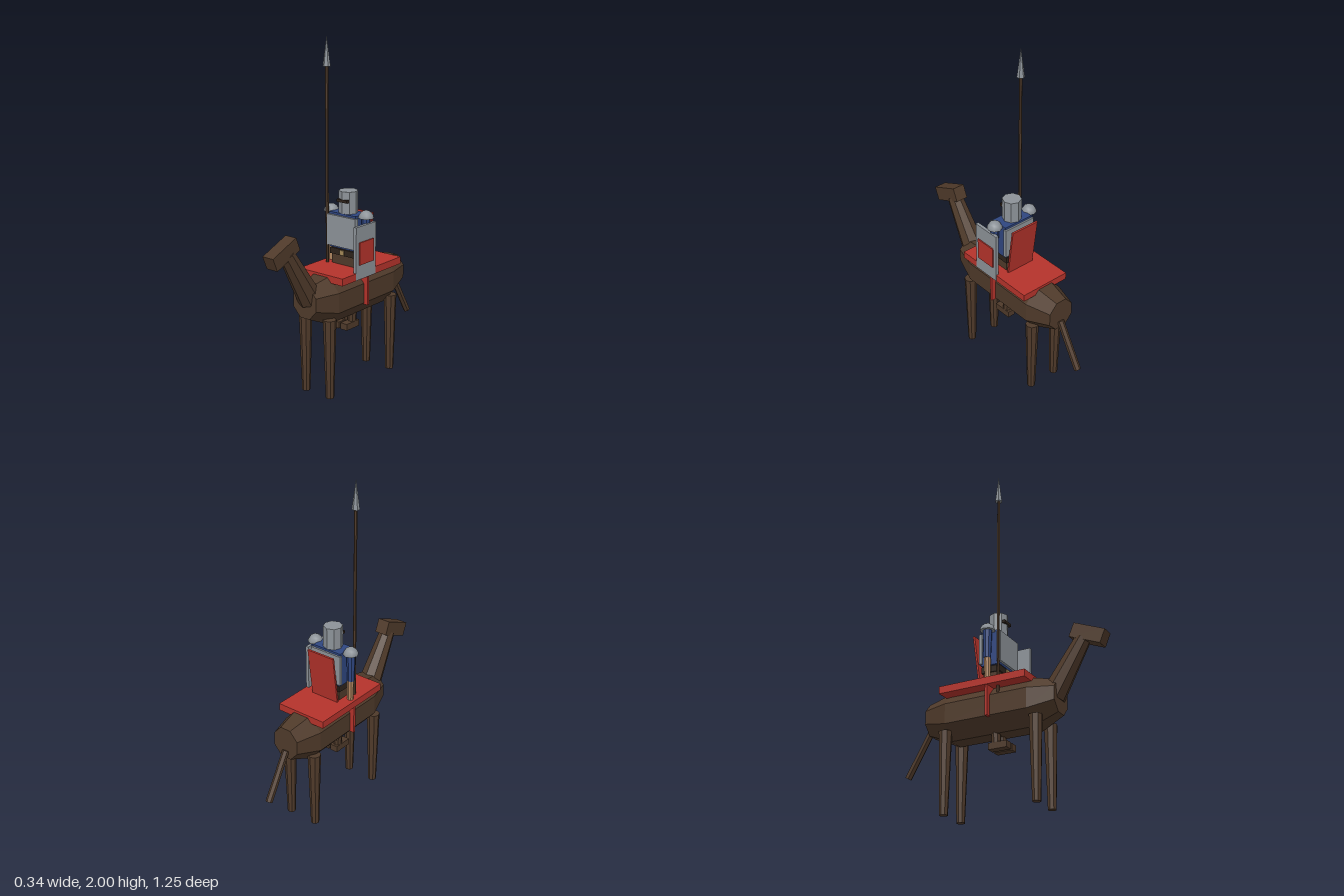
import * as THREE from 'three';

export function createModel() {
  const root = new THREE.Group();
  root.name = 'mountedKnight';

  const paint = (name, color, flat = true) => {
    const m = new THREE.MeshStandardMaterial({ color, flatShading: flat });
    m.name = name;
    return m;
  };
  const brown = paint('hideBrown', 0x4f3a2a);
  const red = paint('clothRed', 0xb5332b);
  const steel = paint('steel', 0x8c9298);
  const smoothSteel = paint('polishedSteel', 0x8c9298, false);
  const blue = paint('tunicBlue', 0x2f4680);
  const skin = paint('skin', 0xb08660);
  const dark = paint('darkLeather', 0x2e231b);
  const brass = paint('brass', 0xa68a58);

  const add = (name, geometry, material, x = 0, y = 0, z = 0, rx = 0) => {
    const mesh = new THREE.Mesh(geometry, material);
    mesh.name = name;
    mesh.position.set(x, y, z);
    mesh.rotation.x = rx;
    root.add(mesh);
    return mesh;
  };
  const box = (name, material, size, pos, rx = 0) =>
    add(name, new THREE.BoxGeometry(...size), material, ...pos, rx);

  // Tapered rod running between two points
  const limb = (name, material, from, to, rFrom, rTo, sides = 8) => {
    const a = new THREE.Vector3(...from), b = new THREE.Vector3(...to);
    const dir = b.clone().sub(a);
    const mesh = add(name, new THREE.CylinderGeometry(rTo, rFrom, dir.length(), sides), material);
    mesh.position.copy(a).add(b).multiplyScalar(0.5);
    mesh.quaternion.setFromUnitVectors(new THREE.Vector3(0, 1, 0), dir.normalize());
    return mesh;
  };

  // Horse barrel: eight-sided, narrowing and rising slightly at both ends
  const profile = [[0, -0.452], [0.66, -0.452], [1, -0.3], [1, 0.2], [0.66, 0.345], [0, 0.345]]
    .map(([r, l]) => new THREE.Vector2(r, l));
  const barrel = new THREE.LatheGeometry(profile, 8, Math.PI / 8);
  barrel.rotateX(Math.PI / 2).scale(0.135, 0.1515, 1);
  const p = barrel.attributes.position;
  for (let i = 0; i < p.count; i++) {
    const z = p.getZ(i);
    if (z < -0.4 || z > 0.3) p.setY(i, p.getY(i) + 0.017);
  }
  add('horseBody', barrel, brown, 0, 0.56, 0);

  // Neck, head and tail
  limb('horseNeck', brown, [0, 0.59, 0.3], [0, 0.89, 0.487], 0.07, 0.045);
  box('horseHead', brown, [0.076, 0.082, 0.195], [0, 0.902, 0.523], 0.4);
  limb('horseTail', brown, [0, 0.53, -0.452], [0, 0.268, -0.604], 0.02, 0.02, 6);

  // Horse legs
  for (const x of [-0.089, 0.089])
    for (const z of [0.238, -0.314])
      limb('horseLeg', brown, [x, 0, z], [x, 0.468, z], 0.024, 0.038);

  // Saddle cloth and the hanging band below it
  box('saddleCloth', red, [0.315, 0.042, 0.53], [0, 0.69, -0.055]);
  box('girthBand', red, [0.302, 0.18, 0.015], [0, 0.585, -0.027]);

  // Rider: hips, belt, tunic and plates
  box('riderHips', brown, [0.165, 0.14, 0.095], [0, 0.75, -0.035]);
  box('belt', dark, [0.18, 0.036, 0.112], [0, 0.785, -0.035]);
  box('beltBuckle', brass, [0.028, 0.028, 0.008], [0, 0.785, 0.025]);
  box('tunic', blue, [0.19, 0.205, 0.11], [0, 0.91, -0.035]);
  box('breastplate', steel, [0.205, 0.18, 0.025], [0, 0.91, 0.022]);
  box('backplate', steel, [0.205, 0.18, 0.02], [0, 0.91, -0.091]);

  // Paired limbs and shoulder guards
  const dome = new THREE.SphereGeometry(0.044, 8, 4, 0, Math.PI * 2, 0, Math.PI / 2);
  const domeBase = new THREE.CircleGeometry(0.044, 8).rotateX(Math.PI / 2);
  for (const s of [-1, 1]) {
    limb('riderLeg', brown, [s * 0.03, 0.37, -0.03], [s * 0.04, 0.7, -0.03], 0.025, 0.038);
    box('boot', brown, [0.048, 0.038, 0.112], [s * 0.03, 0.354, -0.01]);
    limb('upperArm', blue, [s * 0.128, 0.835, -0.033], [s * 0.127, 1.0, -0.033], 0.021, 0.026);
    limb('forearm', skin, [s * 0.124, 0.69, -0.033], [s * 0.126, 0.84, -0.033], 0.017, 0.02);
    add('shoulderGuard', dome, smoothSteel, s * 0.126, 1.0, -0.034);
    add('shoulderGuardBase', domeBase, steel, s * 0.126, 1.0, -0.034);
  }

  // Helmet with an eye slit
  add('helmet', new THREE.CylinderGeometry(0.055, 0.055, 0.128, 8), steel, 0, 1.076, -0.033);
  box('eyeSlit', dark, [0.074, 0.016, 0.02], [0, 1.087, 0.017]);

  // Cape leaning away from the back
  box('cape', red, [0.18, 0.31, 0.011], [0, 0.85, -0.122], -0.13);

  // Shield with a raised field
  box('shield', steel, [0.019, 0.305, 0.175], [0.149, 0.823, 0.005]);
  box('shieldField', red, [0.009, 0.13, 0.128], [0.161, 0.82, 0.005]);

  // Lance
  limb('lanceShaft', brown, [-0.108, 0.6, 0.024], [-0.108, 1.84, 0.024], 0.009, 0.009, 6);
  add('lanceTip', new THREE.ConeGeometry(0.022, 0.17, 6), steel, -0.108, 1.915, 0.024);

  return root;
}
